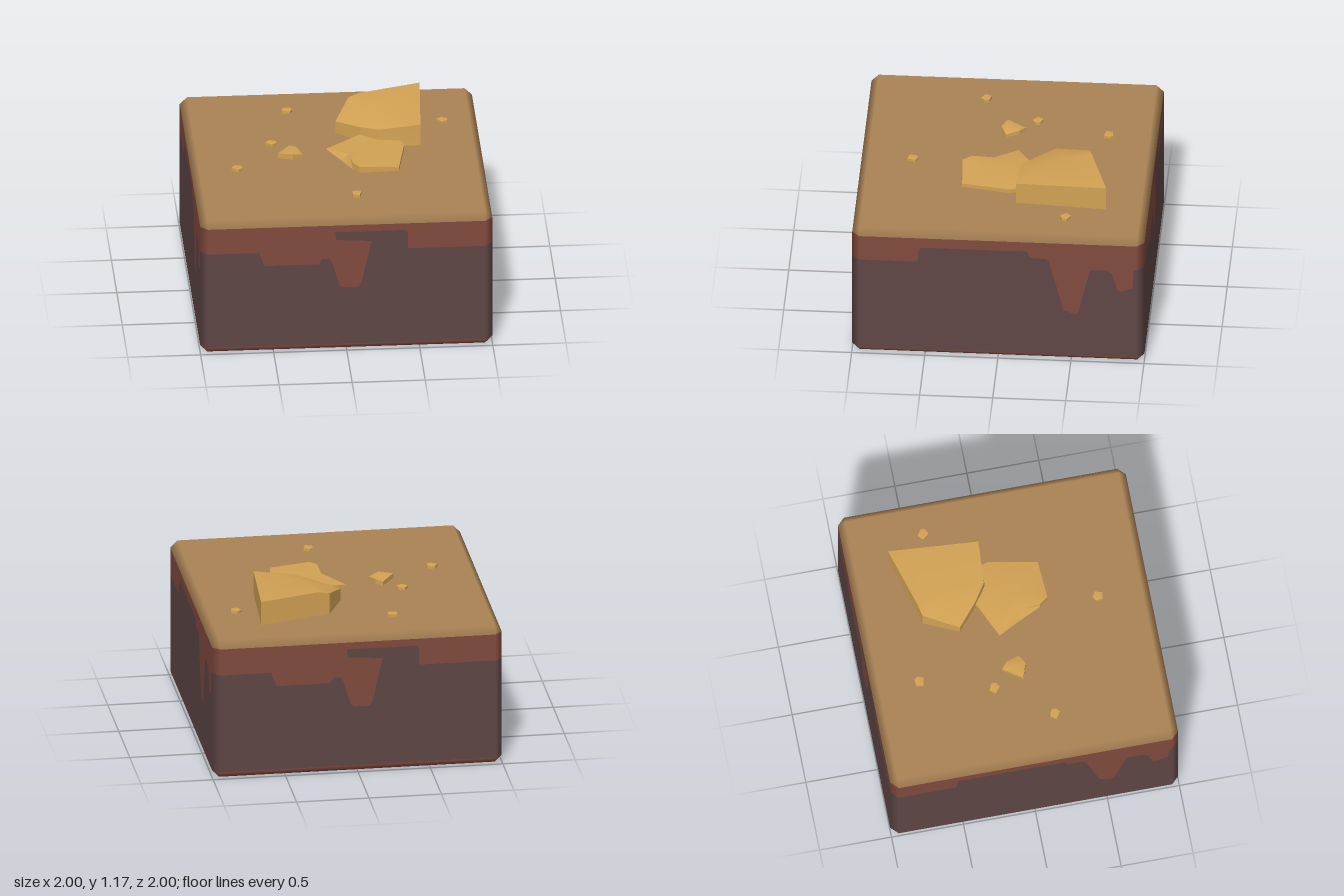
import * as THREE from 'three';

const mat = (name, color, side = THREE.FrontSide) => {
  const m = new THREE.MeshStandardMaterial({ color, side });
  m.name = name;
  return m;
};

export function createModel() {
  const sand = mat('sand', 0xab8355);
  const clay = mat('red clay', 0x804a3e);
  const soil = mat('dark soil', 0x5f4646);
  const stone = mat('ochre stone', 0xd2a254);

  const model = new THREE.Group();
  model.name = 'groundBlock';
  const add = (name, geometry, material, parent = model) => {
    const mesh = new THREE.Mesh(geometry, material);
    mesh.name = name;
    parent.add(mesh);
    return mesh;
  };

  // Top and bottom plates
  const B = 0.05, I = 1 - B;
  const plate = new THREE.PlaneGeometry(2 * I, 2 * I);
  add('topSurface', plate.clone().rotateX(-Math.PI / 2).translate(0, 1, 0), sand);
  add('underside', plate.clone().rotateX(Math.PI / 2), clay);

  // Side walls: one boundary line parts the clay drips from the soil below
  const frontLine = [[-I, 0.76], [-0.6, 0.76], [-0.56, 0.66], [-0.19, 0.66], [-0.17, 0.7], [-0.12, 0.7],
    [-0.1, 0.67], [-0.05, 0.5], [-0.03, 0.48], [0.08, 0.48], [0.1, 0.51], [0.17, 0.825], [-0.07, 0.84], [-0.08, 0.9],
    [0.4, 0.9], [0.42, 0.88], [0.42, 0.76], [I, 0.76]];
  const sideLine = [[-I, 0.76], [-0.55, 0.76], [-0.54, 0.86], [-0.52, 0.875], [0.2, 0.875], [0.22, 0.825],
    [0.33, 0.82], [0.35, 0.8], [0.45, 0.41], [0.53, 0.38], [0.55, 0.4], [0.63, 0.74], [0.75, 0.745],
    [0.78, 0.72], [0.82, 0.58], [0.85, 0.58], [0.92, 0.61], [0.93, 0.75], [I, 0.76]];
  const wallPart = (line, y) => new THREE.ShapeGeometry(new THREE.Shape(
    [...line, [I, y], [-I, y]].map(([u, v]) => new THREE.Vector2(u, v)))).translate(0, 0, 1);
  ['front', 'left', 'back', 'right'].forEach((side, k) => {
    const wall = new THREE.Group();
    wall.name = side + 'Wall';
    wall.rotation.y = k * Math.PI / 2;
    const line = k % 2 ? sideLine : frontLine;
    add('clayDrips', wallPart(line, I), clay, wall);
    add('soilWall', wallPart(line, B), soil, wall);
    model.add(wall);
  });

  // Bevels: convex polygons whose normals blend between neighbouring faces
  const bevels = new Map([[sand, []], [clay, []], [soil, []]]);
  const polygon = (material, corners) => {
    const [a, b, c] = corners.map(p => new THREE.Vector3(...p.p));
    const out = a.clone().setY(a.y - 0.5);
    const facing = b.clone().sub(a).cross(c.clone().sub(a)).dot(out);
    const list = facing > 0 ? corners : [...corners].reverse();
    for (let i = 1; i < list.length - 1; i++) bevels.get(material).push(list[0], list[i], list[i + 1]);
  };
  const onX = (x, y, z) => ({ p: [x, y, z * I], n: [x, 0, 0] });
  const onZ = (x, y, z) => ({ p: [x * I, y, z], n: [0, 0, z] });
  const onY = (x, y, z) => ({ p: [x * I, y, z * I], n: [0, y * 2 - 1, 0] });
  for (const y of [0, 1]) {
    const m = y ? sand : clay, e = y ? I : B;
    for (const s of [-1, 1]) {
      polygon(m, [onY(s, y, -1), onY(s, y, 1), onX(s, e, 1), onX(s, e, -1)]);
      polygon(m, [onY(-1, y, s), onY(1, y, s), onZ(1, e, s), onZ(-1, e, s)]);
      for (const t of [-1, 1]) polygon(m, [onY(s, y, t), onX(s, e, t), onZ(s, e, t)]);
    }
  }
  for (const x of [-1, 1]) for (const z of [-1, 1]) {
    for (const [m, lo, hi] of [[soil, B, 0.76], [clay, 0.76, I]]) {
      polygon(m, [onX(x, lo, z), onX(x, hi, z), onZ(x, hi, z), onZ(x, lo, z)]);
    }
  }
  for (const [m, corners] of bevels) {
    const g = new THREE.BufferGeometry();
    g.setAttribute('position', new THREE.Float32BufferAttribute(corners.flatMap(c => c.p), 3));
    g.setAttribute('normal', new THREE.Float32BufferAttribute(corners.flatMap(c => c.n), 3));
    add(m.name.replace(/ /g, '') + 'Bevel', g, m);
  }

  // Stones: outline points [x, z, height, base x, base z], smooth top, flat sides
  const rock = (name, outline, peak) => {
    const n = outline.length;
    const mean = k => outline.reduce((s, p) => s + p[k], 0) / n;
    const top = outline.map(([x, z, h]) => [x, 1 + h, z]);
    const base = outline.map(([x, z, h, bx = x, bz = z]) => [bx, 1, bz]);
    const pos = [[mean(0), 1 + peak, mean(1)], ...top];
    const index = [];
    for (let i = 0; i < n; i++) {
      const j = (i + 1) % n, v = pos.length;
      index.push(0, 1 + i, 1 + j);
      pos.push(top[i], base[i], base[j], top[j]);
      index.push(v, v + 1, v + 2, v, v + 2, v + 3);
    }
    const g = new THREE.BufferGeometry();
    g.setAttribute('position', new THREE.Float32BufferAttribute(pos.flat(), 3));
    g.setIndex(index);
    g.computeVertexNormals();
    add(name, g, stone);
  };
  rock('largeSlab', [[0.625, -0.715, 0.17], [0.21, -0.59, 0.17], [0.13, -0.57, 0.15], [0.11, -0.53, 0.14],
    [0.02, -0.33, 0.085], [0.18, -0.19, 0.105], [0.3, -0.11, 0.12, 0.3, -0.1], [0.585, -0.095, 0.155]], 0.17);
  rock('lowSlab', [[0.47, -0.05, 0.03], [0.44, -0.15, 0.04], [0.18, -0.19, 0.05], [-0.06, -0.07, 0.01],
    [0.09, 0.09, 0.04, 0.02, 0.08], [0.095, 0.24, 0.05], [0.14, 0.3, 0.045], [0.41, 0.285, 0.025]], 0.05);
  rock('mediumStone', [[-0.31, -0.1, 0.03], [-0.4, 0.03, 0.035], [-0.3, 0.065, 0.04],
    [-0.23, 0.03, 0.02], [-0.265, -0.06, 0.035]], 0.045);

  // Scattered pebbles: [x, z, turn]
  const pebble = [[0.035, 0], [0, -0.035], [-0.04, -0.01], [-0.015, 0.04], [0.025, 0.03]];
  [[-0.29, -0.675, 0.9], [0.76, -0.45, 0.2], [-0.43, -0.18, 0.4], [-0.69, 0.19, 0.5], [0.09, 0.645, 2.4]]
    .forEach(([x, z, t], i) => rock('pebble' + (i + 1), pebble.map(([u, v]) =>
      [x + u * Math.cos(t) + v * Math.sin(t), z - u * Math.sin(t) + v * Math.cos(t), 0.02]), 0.024));

  return model;
}
